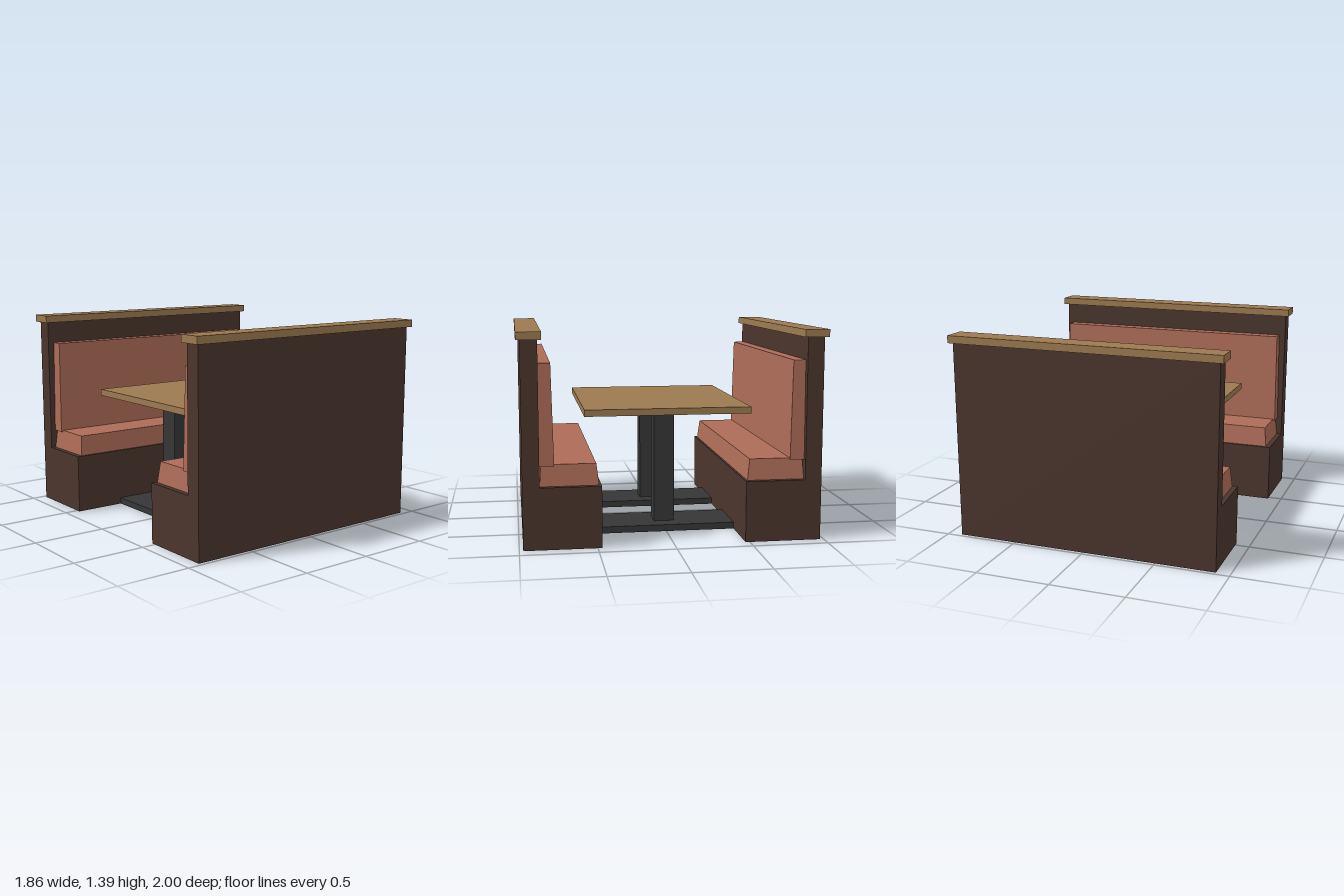
import * as THREE from 'three';

const mat = (name, color) => new THREE.MeshStandardMaterial({ name, color });

export function createModel() {
  const darkWood = mat('darkWood', 0x4a352d);
  const oak = mat('oak', 0x9c7a50);
  const leather = mat('leather', 0xad6c58);
  const iron = mat('iron', 0x363636);

  const model = new THREE.Group();
  model.name = 'diningBooth';

  const add = (parent, name, geometry, material) => {
    const mesh = new THREE.Mesh(geometry, material);
    mesh.name = name;
    parent.add(mesh);
    return mesh;
  };

  // Box given by its extents on each axis
  const box = (x0, x1, y0, y1, z0, z1) =>
    new THREE.BoxGeometry(x1 - x0, y1 - y0, z1 - z0)
      .translate((x0 + x1) / 2, (y0 + y1) / 2, (z0 + z1) / 2);

  // Cushion: a block whose top is narrower than its base
  const cushion = (y0, y1, base, top) => {
    const g = new THREE.BoxGeometry(2, 1, 1);
    const p = g.attributes.position;
    for (let i = 0; i < p.count; i++) {
      const up = p.getY(i) > 0;
      const e = up ? top : base;
      p.setXYZ(i, p.getX(i) * e.halfWidth, up ? y1 : y0, p.getZ(i) > 0 ? e.back : e.front);
    }
    g.computeVertexNormals();
    return g;
  };

  // L-shaped bench carcass, extruded along x
  const profile = new THREE.Shape([
    [0.47, 0], [0.975, 0], [0.975, 1.34], [0.865, 1.34], [0.865, 0.405], [0.47, 0.405],
  ].map(([z, y]) => new THREE.Vector2(z, y)));
  const carcass = new THREE.ExtrudeGeometry(profile, { depth: 1.81, bevelEnabled: false })
    .translate(0, 0, -0.905)
    .rotateY(-Math.PI / 2);

  const seat = cushion(0.405, 0.545,
    { halfWidth: 0.87, front: 0.485, back: 0.865 },
    { halfWidth: 0.855, front: 0.502, back: 0.855 });
  const backrest = cushion(0.535, 1.19,
    { halfWidth: 0.87, front: 0.77, back: 0.866 },
    { halfWidth: 0.86, front: 0.785, back: 0.866 });

  // Two benches facing each other
  [['frontBench', 0], ['backBench', Math.PI]].forEach(([name, turn]) => {
    const bench = new THREE.Group();
    bench.name = name;
    add(bench, 'benchBody', carcass, darkWood);
    add(bench, 'seatCushion', seat, leather);
    add(bench, 'backCushion', backrest, leather);
    add(bench, 'capRail', box(-0.93, 0.93, 1.34, 1.39, 0.84, 1), oak);
    bench.rotation.y = turn;
    model.add(bench);
  });

  // Table on two posts with floor plates
  const table = new THREE.Group();
  table.name = 'table';
  add(table, 'tableTop', box(-0.65, 0.65, 0.815, 0.86, -0.56, 0.56), oak);
  for (const [side, x] of [['left', 0.37], ['right', -0.37]]) {
    add(table, side + 'Post', box(x - 0.07, x + 0.07, 0.045, 0.815, -0.07, 0.07), iron);
    add(table, side + 'FloorPlate', box(x - 0.185, x + 0.185, 0, 0.045, -0.468, 0.468), iron);
  }
  model.add(table);

  return model;
}
